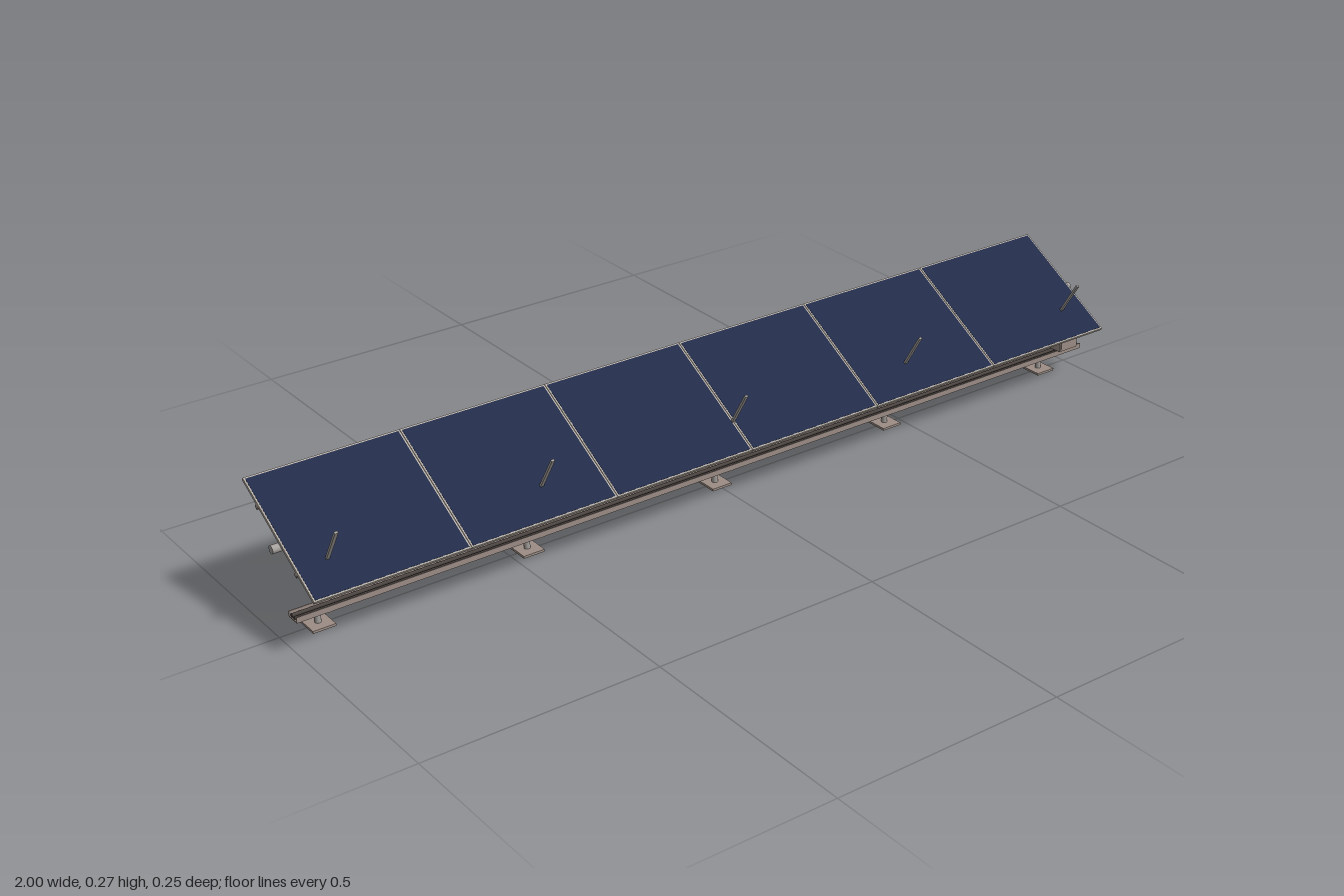
import * as THREE from 'three';

const mat = (name, color) => {
  const m = new THREE.MeshStandardMaterial({ color });
  m.name = name;
  return m;
};

export function createModel() {
  const model = new THREE.Group();
  model.name = 'solarArray';

  const glass = mat('navy glass', 0x222c4a);
  const frame = mat('frame aluminium', 0xb4ada5);
  const back = mat('backsheet grey', 0x9b9590);
  const steel = mat('galvanised steel', 0xa5a19d);
  const warm = mat('warm metal', 0x9d8e86);
  const dark = mat('dark cable', 0x4a4340);

  const add = (parent, name, geo, material, x = 0, y = 0, z = 0) => {
    const m = new THREE.Mesh(geo, material);
    m.name = name;
    m.position.set(x, y, z);
    parent.add(m);
    return m;
  };
  const box = (parent, name, material, w, h, d, x, y, z) =>
    add(parent, name, new THREE.BoxGeometry(w, h, d), material, x, y, z);
  // Round bar lying along x
  const barX = (parent, name, material, r, len, x, y, z) => {
    const m = add(parent, name, new THREE.CylinderGeometry(r, r, len, 16), material, x, y, z);
    m.rotation.z = Math.PI / 2;
    return m;
  };
  // Flat brace between two points in the yz plane
  const brace = (parent, name, w, t, y0, z0, y1, z1) => {
    const len = Math.hypot(y1 - y0, z1 - z0);
    const m = box(parent, name, steel, w, len, t, 0, (y0 + y1) / 2, (z0 + z1) / 2);
    m.rotation.x = Math.atan2(z1 - z0, y1 - y0);
  };

  // Tilted table of six modules with two purlins underneath
  const table = new THREE.Group();
  table.name = 'panelTable';
  table.position.y = 0.1995;
  table.rotation.x = Math.PI / 6;
  model.add(table);
  const pitch = 0.3285, depth = 0.289;
  for (let i = 0; i < 6; i++) {
    const panel = new THREE.Group();
    panel.name = 'solarPanel';
    panel.position.x = (i - 2.5) * pitch;
    table.add(panel);
    box(panel, 'panelFrame', frame, pitch - 0.001, 0.0065, depth, 0, 0, 0);
    box(panel, 'panelGlass', glass, pitch - 0.008, 0.001, depth - 0.007, 0, 0.0032, 0);
    box(panel, 'panelBacksheet', back, pitch - 0.006, 0.001, depth - 0.006, 0, -0.0032, 0);
  }
  for (const z of [-0.084, 0.075])
    box(table, 'purlin', warm, 1.97, 0.009, 0.008, 0, -0.0075, z);

  // Main horizontal tube
  barX(model, 'mainTube', steel, 0.0085, 2.0, 0, 0.185, 0);

  // Five supports
  for (let i = -2; i <= 2; i++) {
    const support = new THREE.Group();
    support.name = 'support';
    support.position.x = i * 0.46;
    model.add(support);
    box(support, 'basePlate', warm, 0.048, 0.005, 0.052, 0, 0.0025, 0);
    add(support, 'post', new THREE.CylinderGeometry(0.0065, 0.0065, 0.17, 16), steel, 0, 0.088, 0);
    box(support, 'tubeBracket', warm, 0.02, 0.022, 0.025, 0, 0.185, 0);
    brace(support, 'frontBrace', 0.007, 0.005, 0.066, 0, 0.241, 0.1045);
    brace(support, 'rearBrace', 0.007, 0.006, 0.066, 0, 0.13, -0.1);
    box(support, 'trayArm', steel, 0.008, 0.004, 0.057, 0, 0.0555, 0.0285);
  }

  // Open cable tray with two cables
  const tray = new THREE.Group();
  tray.name = 'cableTray';
  tray.position.set(0, 0.056, 0.043);
  model.add(tray);
  box(tray, 'trayFloor', warm, 1.98, 0.002, 0.031, 0, 0, 0);
  for (const s of [-1, 1]) box(tray, 'traySide', warm, 1.98, 0.012, 0.002, 0, 0.005, s * 0.0145);
  barX(tray, 'cable', dark, 0.004, 1.98, 0, 0.0065, -0.004);
  barX(tray, 'cable', dark, 0.003, 1.98, 0, 0.0055, 0.006);

  // Electrical cabinet at one end
  box(model, 'cabinet', warm, 0.052, 0.066, 0.039, 0.945, 0.1, 0.0465);
  box(model, 'cabinetDoor', warm, 0.046, 0.06, 0.002, 0.945, 0.1, 0.0665);

  return model;
}
